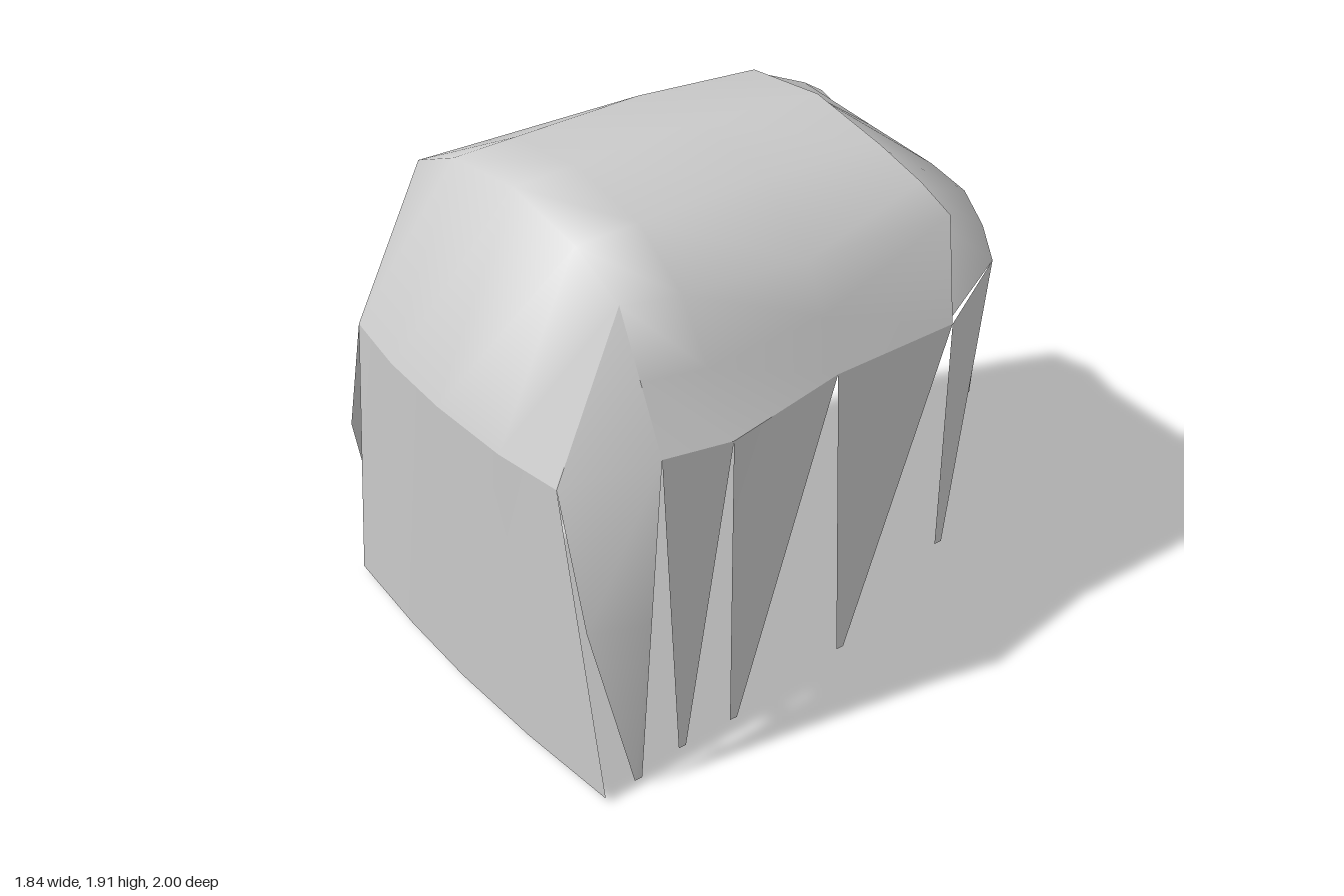
import * as THREE from 'three';
import { mergeGeometries, toCreasedNormals } from 'three/addons/utils/BufferGeometryUtils.js';

const material = new THREE.MeshStandardMaterial({ color: 0xcccccc, side: THREE.DoubleSide });

// Skin a list of rows of [x, y, z] points with quads.
function loft(rows) {
  const cols = rows[0].length, index = [];
  for (let r = 0; r < rows.length - 1; r++) {
    for (let c = 0; c < cols - 1; c++) {
      const a = r * cols + c, b = a + cols;
      index.push(a, a + 1, b + 1, a, b + 1, b);
    }
  }
  const geo = new THREE.BufferGeometry();
  geo.setAttribute('position', new THREE.Float32BufferAttribute(rows.flat(2), 3));
  geo.setIndex(index);
  return geo.toNonIndexed();
}

function part(name, geometries, crease) {
  const mesh = new THREE.Mesh(toCreasedNormals(mergeGeometries(geometries), crease), material);
  mesh.name = name;
  return mesh;
}

const mix = (a, b, t) => a.map((v, i) => v + (b[i] - v) * t);

export function createModel() {
  const group = new THREE.Group();
  group.name = 'hair';

  // Cross-section of the crown: a shared crest, shoulders of varying height, flaring sides
  const section = (z, left, leftY, right, rightY) => [
    [left, 1.31], [(left - 0.51) / 2, (1.31 + leftY) / 2], [-0.51, leftY], [-0.28, 1.86], [0.07, 1.91],
    [0.42, 1.86], [0.65, rightY], [(right + 0.65) / 2, (1.31 + rightY) / 2], [right, 1.31],
  ].map(([x, y]) => [x, y, z]);
  const front = section(0.68, -0.73, 1.75, 0.87, 1.76);
  const second = section(0.44, -0.72, 1.74, 0.92, 1.71);
  const middle = section(-0.06, -0.69, 1.68, 0.82, 1.66);
  const rear = [
    [-0.64, 1.31, -0.52], [-0.57, 1.49, -0.54], [-0.48, 1.66, -0.56], [-0.28, 1.81, -0.56], [0.07, 1.86, -0.56],
    [0.4, 1.81, -0.56], [0.57, 1.73, -0.6], [0.68, 1.64, -0.64], [0.81, 1.31, -0.56],
  ];

  // Crown with the slope that rolls over its front
  const brow = [[-0.53, 1.19, 0.94], [-0.25, 1.19, 0.98], [0.07, 1.2, 1], [0.4, 1.19, 0.98], [0.67, 1.19, 0.94]];
  group.add(part('crown', [loft([brow, front.slice(2, 7)]), loft([front, second, middle, rear])], 1.4));

  // Long front panel with a thin bottom edge
  const hem = [[-0.71, 0.02, 0.9], [-0.3, 0.035, 0.94], [0.07, 0.05, 0.96], [0.45, 0.035, 0.94], [0.85, 0.02, 0.9]];
  const lip = [[-0.64, 0.003, 0.87], [-0.28, 0.02, 0.9], [0.07, 0.035, 0.92], [0.42, 0.02, 0.9], [0.78, 0.003, 0.87]];
  group.add(part('frontPanel', [loft([brow, lip, hem, brow])], 0.6));

  // Back of the head, tucked under the crown's rear edge, with an uneven rim
  const tuck = [
    [-0.63, 1.31, -0.54], [-0.56, 1.49, -0.54], [-0.47, 1.65, -0.55], [-0.28, 1.805, -0.55], [0.07, 1.857, -0.55],
    [0.4, 1.805, -0.55], [0.57, 1.72, -0.57], [0.68, 1.62, -0.6], [0.79, 1.31, -0.56],
  ];
  const nape = [
    [-0.57, 1.39, -0.69], [-0.55, 1.51, -0.71], [-0.47, 1.62, -0.79], [-0.28, 1.69, -0.79], [0.07, 1.66, -0.81],
    [0.39, 1.65, -0.81], [0.57, 1.63, -0.8], [0.68, 1.55, -0.79], [0.75, 1.45, -0.78],
  ];
  const rim = [
    [-0.5, 1.38, -0.78], [-0.49, 1.48, -0.83], [-0.47, 1.58, -0.88], [-0.3, 1.62, -0.89], [0.07, 1.38, -1],
    [0.5, 1.43, -0.9], [0.57, 1.4, -0.87], [0.63, 1.38, -0.86], [0.66, 1.37, -0.85],
  ];
  group.add(part('backOfHead', [loft([tuck, nape, rim])], 1.3));

  // Pointed strands down each side; col picks the side's edge of every section
  const sides = [
    { name: 'right', s: -1, col: 0, corner: 2, browCol: 0, elbow: [-0.7, 0.67, 0.91],
      tips: [[-0.77, 0.05, 0.76], [-0.92, 0.06, 0.52], [-0.88, 0.06, 0.33], [-0.78, 0.12, -0.21], [-0.61, 0.4, -0.58], [-0.55, 0.7, -0.65]] },
    { name: 'left', s: 1, col: 8, corner: 6, browCol: 4, elbow: [0.775, 0.67, 0.91],
      tips: [[0.855, 0.04, 0.77], [0.83, 0.06, 0.57], [0.8, 0.04, 0.33], [0.75, 0.07, -0.18], [0.79, 0.38, -0.58], [0.68, 0.88, -0.77]] },
  ];
  for (const { name, s, col, corner, browCol, elbow, tips } of sides) {
    const strip = (rows) => loft(s > 0 ? [...rows].reverse() : rows);
    const blunt = ([x, y, z]) => [[x, y, z + 0.015], [x, y, z - 0.015]];
    const valleys = [front, second, middle, rear, nape, rim].map((row) => row[col]);

    // Foremost strand hangs from the corner of the crown
    const [tipA, tipB] = blunt(tips[0]);
    group.add(part(name + 'CheekStrand', [strip([
      [front[corner], front[corner]], [brow[browCol], valleys[0]],
      [elbow, mix(valleys[0], tipB, 0.5)], [tipA, tipB],
    ])], 0.9));

    // Remaining strands each span two neighbouring valleys
    for (let i = 1; i < tips.length; i++) {
      const base = [valleys[i - 1], valleys[i]];
      group.add(part(name + 'Strand' + i, [strip([base, blunt(tips[i])])], 0.6));
    }
  }
  return group;
}
